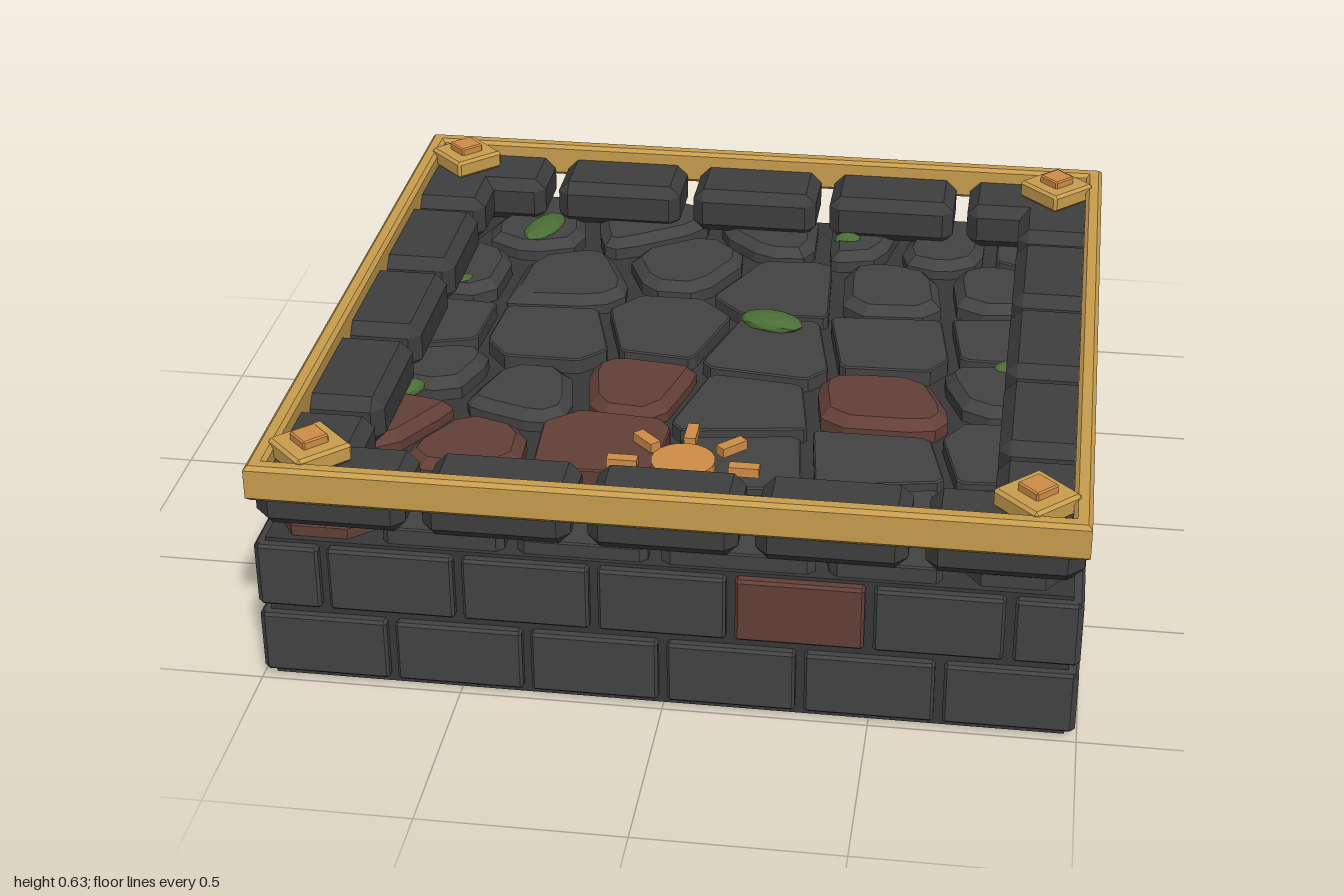
import * as THREE from 'three';
import { ConvexGeometry } from 'three/addons/geometries/ConvexGeometry.js';

const mat = (name, color) => {
  const m = new THREE.MeshStandardMaterial({ color, flatShading: true });
  m.name = name;
  return m;
};

// Box with every edge and corner cut at 45 degrees, centred on the origin
function chamferBox(w, h, d, c) {
  const pts = [];
  for (const x of [-1, 1]) for (const y of [-1, 1]) for (const z of [-1, 1]) {
    const X = x * w / 2, Y = y * h / 2, Z = z * d / 2;
    pts.push(new THREE.Vector3(X, Y - y * c, Z - z * c));
    pts.push(new THREE.Vector3(X - x * c, Y, Z - z * c));
    pts.push(new THREE.Vector3(X - x * c, Y - y * c, Z));
  }
  return new ConvexGeometry(pts);
}

// Keep the part of a polygon where nx*x + nz*z <= limit
function clip(poly, nx, nz, limit) {
  const out = [];
  poly.forEach((a, i) => {
    const b = poly[(i + 1) % poly.length];
    const da = nx * a[0] + nz * a[1] - limit, db = nx * b[0] + nz * b[1] - limit;
    if (da <= 0) out.push(a);
    if (da * db < 0) {
      const t = da / (da - db);
      out.push([a[0] + (b[0] - a[0]) * t, a[1] + (b[1] - a[1]) * t]);
    }
  });
  return out;
}

// Paving cell around seed i, pulled in from its neighbours by inset
function cell(seeds, i, inset) {
  const e = 0.975 - inset;
  let poly = [[-e, -e], [e, -e], [e, e], [-e, e]];
  const [x, z] = seeds[i];
  seeds.forEach(([sx, sz], j) => {
    if (j === i) return;
    const l = Math.hypot(sx - x, sz - z), nx = (sx - x) / l, nz = (sz - z) / l;
    poly = clip(poly, nx, nz, nx * (x + sx) / 2 + nz * (z + sz) / 2 - inset);
  });
  return poly;
}

// Replace each corner by a short cut
function cutCorners(poly, f) {
  return poly.flatMap((p, i) => {
    const a = poly[(i + poly.length - 1) % poly.length], b = poly[(i + 1) % poly.length];
    return [a, b].map((q) => [p[0] + (q[0] - p[0]) * f, p[1] + (q[1] - p[1]) * f]);
  });
}

export function createModel() {
  const model = new THREE.Group();
  model.name = 'stonePlatform';
  const mortar = mat('mortar', 0x383838), stone = mat('stone', 0x434343);
  const rimStone = mat('rimStone', 0x3e3e3e), red = mat('redStone', 0x633f38);
  const gold = mat('gold', 0xc89d4e), orange = mat('orange', 0xd08d47);
  const green = mat('moss', 0x4b6e36);

  const add = (parent, name, geo, material, x = 0, y = 0, z = 0) => {
    const m = new THREE.Mesh(geo, material);
    m.name = name;
    m.position.set(x, y, z);
    parent.add(m);
    return m;
  };

  // Core block
  add(model, 'core', new THREE.BoxGeometry(1.94, 0.392, 1.94), mortar, 0, 0.196, 0);

  // Four walls: two brick courses and a row of rim stones each
  const courses = [
    { y: 0.103, h: 0.165, ends: [-1, -0.667, -0.333, 0, 0.333, 0.667, 1] },
    { y: 0.297, h: 0.17, ends: [-1, -0.825, -0.495, -0.165, 0.165, 0.495, 0.825, 1] },
  ];
  // Red bricks per side (front, right, back, left), per course
  const redBricks = [[[], [4]], [[], []], [[4, 5], [4]], [[0, 4], [0, 2]]];
  const rimGeo = chamferBox(0.36, 0.13, 0.22, 0.03);
  for (let side = 0; side < 4; side++) {
    const wall = new THREE.Group();
    wall.name = ['front', 'right', 'back', 'left'][side] === 'right' ? 'wallPlusX'
      : ['frontWall', '', 'backWall', 'wallMinusX'][side];
    wall.rotation.y = side * Math.PI / 2;
    courses.forEach(({ y, h, ends }, c) => {
      for (let i = 0; i < ends.length - 1; i++) {
        const a = Math.max(ends[i] + 0.011, -0.99), b = Math.min(ends[i + 1] - 0.011, 0.99);
        add(wall, 'brick', chamferBox(b - a, h, 0.06, 0.007),
          redBricks[side][c].includes(i) ? red : stone, (a + b) / 2, y, 0.965);
      }
    });
    for (let i = -2; i <= 2; i++) add(wall, 'rimStone', rimGeo, rimStone, i * 0.4, 0.495, 0.88);
    model.add(wall);
  }

  // Paving seeds: x, z, kind (0 flat, 1 bevelled, 2 red bevelled, 3 red flat)
  const seeds = [
    [-0.9, -0.85, 0], [-0.63, -0.76, 1], [-0.33, -0.82, 1], [0.09, -0.83, 1], [0.32, -0.84, 1],
    [0.55, -0.8, 1], [0.84, -0.8, 0], [-0.8, -0.45, 1], [-0.49, -0.43, 1], [-0.16, -0.57, 1],
    [0.12, -0.44, 0], [0.43, -0.46, 1], [0.74, -0.5, 1], [-0.82, -0.1, 0], [-0.47, -0.08, 0],
    [-0.16, -0.17, 0], [0.13, -0.09, 0], [0.45, -0.15, 0], [0.78, -0.2, 0], [0.78, 0.06, 1],
    [-0.2, 0.18, 1.5], [0.09, 0.25, 0], [0.46, 0.19, 1.5], [-0.47, 0.23, 1], [-0.75, 0.14, 1],
    [-0.8, 0.4, 1.5], [-0.57, 0.53, 1.5], [-0.23, 0.51, 0.5], [0.13, 0.52, 0], [0.46, 0.48, 0],
    [0.8, 0.4, 0], [0.51, 0.74, 0], [0.82, 0.72, 1], [-0.82, 0.77, 1.5], [-0.52, 0.83, 0],
    [-0.22, 0.83, 0], [0.17, 0.82, 0],
  ];
  const paving = new THREE.Group();
  paving.name = 'paving';
  seeds.forEach(([, , kind], i) => {
    const bevelled = kind >= 1, isRed = kind % 1 > 0;
    const top = (bevelled ? 0.443 : 0.43) + (i * 7 % 5) * 0.002 + (kind === 0.5 ? 0.015 : 0);
    const rings = bevelled
      ? [[0.022, 0.385], [0.022, top - 0.025], [0.048, top]]
      : [[0.016, 0.385], [0.016, top - 0.004], [0.02, top]];
    const pts = rings.flatMap(([inset, y]) =>
      cutCorners(cell(seeds, i, inset), bevelled ? 0.2 : 0.06)
        .map(([x, z]) => new THREE.Vector3(x, y, z)));
    add(paving, 'pavingStone', new ConvexGeometry(pts), isRed ? red : stone);
  });
  model.add(paving);

  // Moss tufts: x, z, half length, half width, turn
  const tuft = new THREE.IcosahedronGeometry(1, 1);
  [
    [-0.61, -0.72, 0.1, 0.05, 1.3], [0.12, -0.22, 0.09, 0.052, -0.25], [0.28, -0.76, 0.04, 0.03, 0],
    [0.77, -0.03, 0.04, 0.03, 0.6], [0.5, 0.715, 0.022, 0.014, -0.8], [-0.77, 0.28, 0.04, 0.03, 1],
    [-0.77, -0.35, 0.035, 0.025, 1],
  ].forEach(([x, z, l, w, turn]) => {
    const m = add(model, 'moss', tuft, green, x, 0.442, z);
    m.scale.set(l, Math.min(0.025, w * 0.7), w);
    m.rotation.y = turn;
  });

  // Sun emblem: disc and eight rays
  const sun = new THREE.Group();
  sun.name = 'sun';
  sun.position.set(0, 0.47, 0.63);
  add(sun, 'sunDisc', new THREE.CylinderGeometry(0.08, 0.08, 0.036, 20), orange);
  for (let i = 0; i < 8; i++) {
    const a = i * Math.PI / 4;
    const ray = add(sun, 'sunRay', new THREE.BoxGeometry(0.076, 0.025, 0.03), orange,
      Math.cos(a) * 0.152, 0, -Math.sin(a) * 0.152);
    ray.rotation.y = a;
  }
  model.add(sun);

  // Bevelled square frame
  const square = (s, path) => path.moveTo(-s, -s).lineTo(s, -s).lineTo(s, s).lineTo(-s, s).closePath();
  const outline = square(0.99, new THREE.Shape());
  outline.holes.push(square(0.965, new THREE.Path()));
  const frameGeo = new THREE.ExtrudeGeometry(outline,
    { depth: 0.075, bevelEnabled: true, bevelSize: 0.01, bevelThickness: 0.01, bevelSegments: 1 });
  frameGeo.rotateX(-Math.PI / 2);
  add(model, 'frame', frameGeo, gold, 0, 0.517, 0);

  // Diamond studs on the corners
  const plateGeo = chamferBox(0.15, 0.05, 0.15, 0.008), gemGeo = chamferBox(0.07, 0.04, 0.07, 0.004);
  for (const x of [-0.87, 0.87]) for (const z of [-0.87, 0.87]) {
    add(model, 'cornerPlate', plateGeo, gold, x, 0.587, z).rotation.y = Math.PI / 4;
    add(model, 'cornerStud', gemGeo, orange, x, 0.613, z).rotation.y = Math.PI / 4;
  }
  return model;
}
